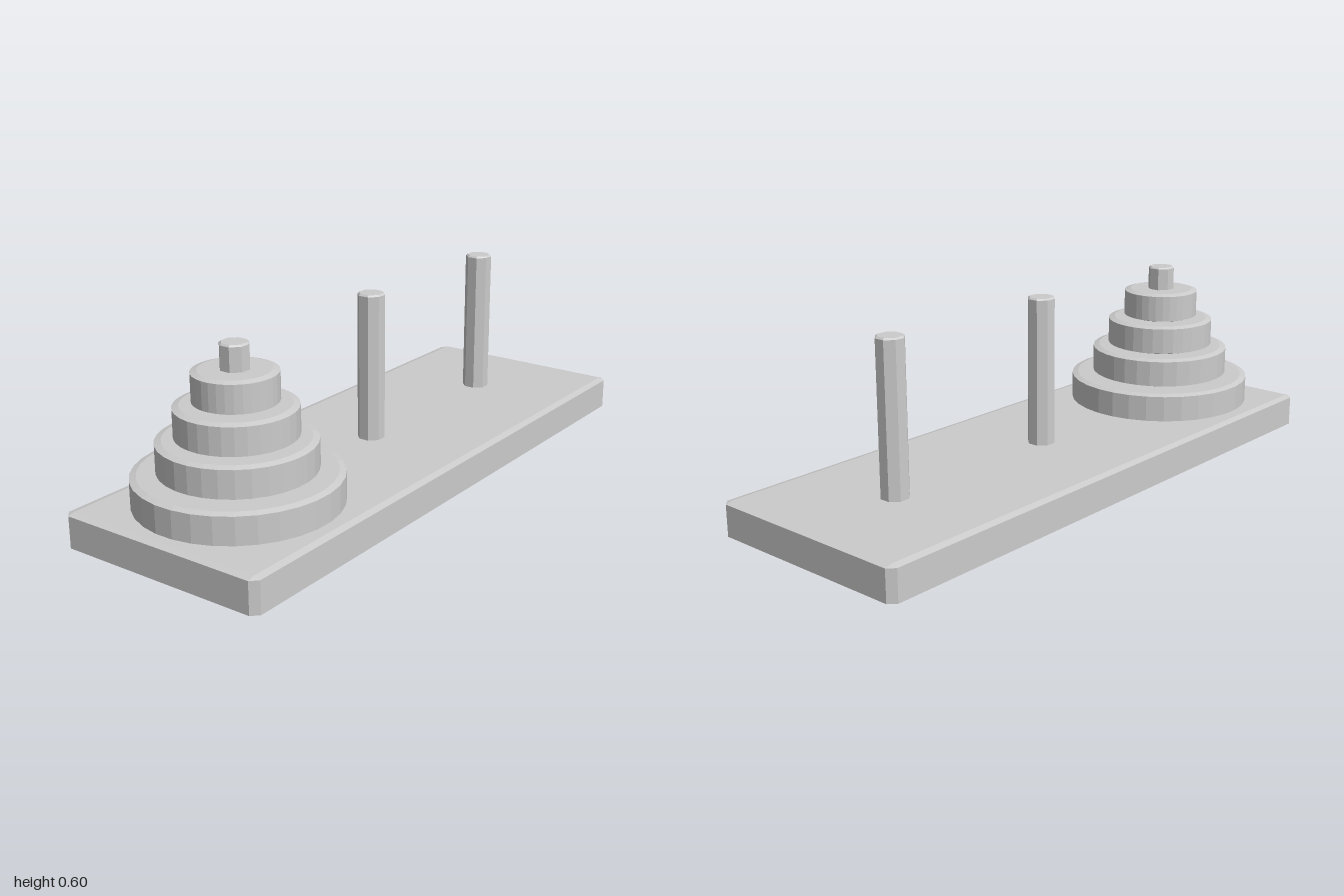
import * as THREE from 'three';
import { ConvexGeometry } from 'three/addons/geometries/ConvexGeometry.js';

const material = new THREE.MeshStandardMaterial({ color: 0xcccccc, flatShading: true });

function addMesh(parent, name, geometry, z = 0) {
  const mesh = new THREE.Mesh(geometry, material);
  mesh.name = name;
  mesh.position.z = z;
  parent.add(mesh);
}

// Solid of revolution with a bevelled rim at both ends
function bevelledCylinder(radius, y0, y1, inset, rise, sides) {
  const profile = [
    [0, y0], [radius - inset, y0], [radius, y0 + rise],
    [radius, y1 - rise], [radius - inset, y1], [0, y1],
  ].map(([x, y]) => new THREE.Vector2(x, y));
  return new THREE.LatheGeometry(profile, sides).rotateY(Math.PI / sides);
}

// Slab with chamfered corners and shallow bevels along top and bottom
function bevelledSlab(halfX, halfZ, height, inset, rise) {
  const points = [];
  for (const sx of [-1, 1]) {
    for (const sz of [-1, 1]) {
      const add = (x, y, z) => points.push(new THREE.Vector3(sx * x, y, sz * z));
      for (const y of [0, height]) add(halfX - inset, y, halfZ - inset);
      for (const y of [rise, height - rise]) {
        add(halfX, y, halfZ - inset);
        add(halfX - inset, y, halfZ);
      }
    }
  }
  return new ConvexGeometry(points);
}

export function createModel() {
  const model = new THREE.Group();
  model.name = 'discPuzzle';
  const pegSpacing = 0.65;

  addMesh(model, 'base', bevelledSlab(0.357, 1, 0.112, 0.022, 0.006));

  // Three octagonal pegs
  ['backPeg', 'middlePeg', 'frontPeg'].forEach((name, i) => {
    addMesh(model, name, bevelledCylinder(0.045, 0.1, 0.597, 0.006, 0.005, 8), (i - 1) * pegSpacing);
  });

  // Stack of discs on the front peg, largest at the bottom
  const stack = new THREE.Group();
  stack.name = 'discStack';
  stack.position.z = pegSpacing;
  model.add(stack);
  [0.311, 0.236, 0.182, 0.127].forEach((radius, i) => {
    const y = 0.115 + i * 0.1017;
    addMesh(stack, `disc${i + 1}`, bevelledCylinder(radius, y, y + 0.098, 0.02, 0.006, 32));
  });

  return model;
}
